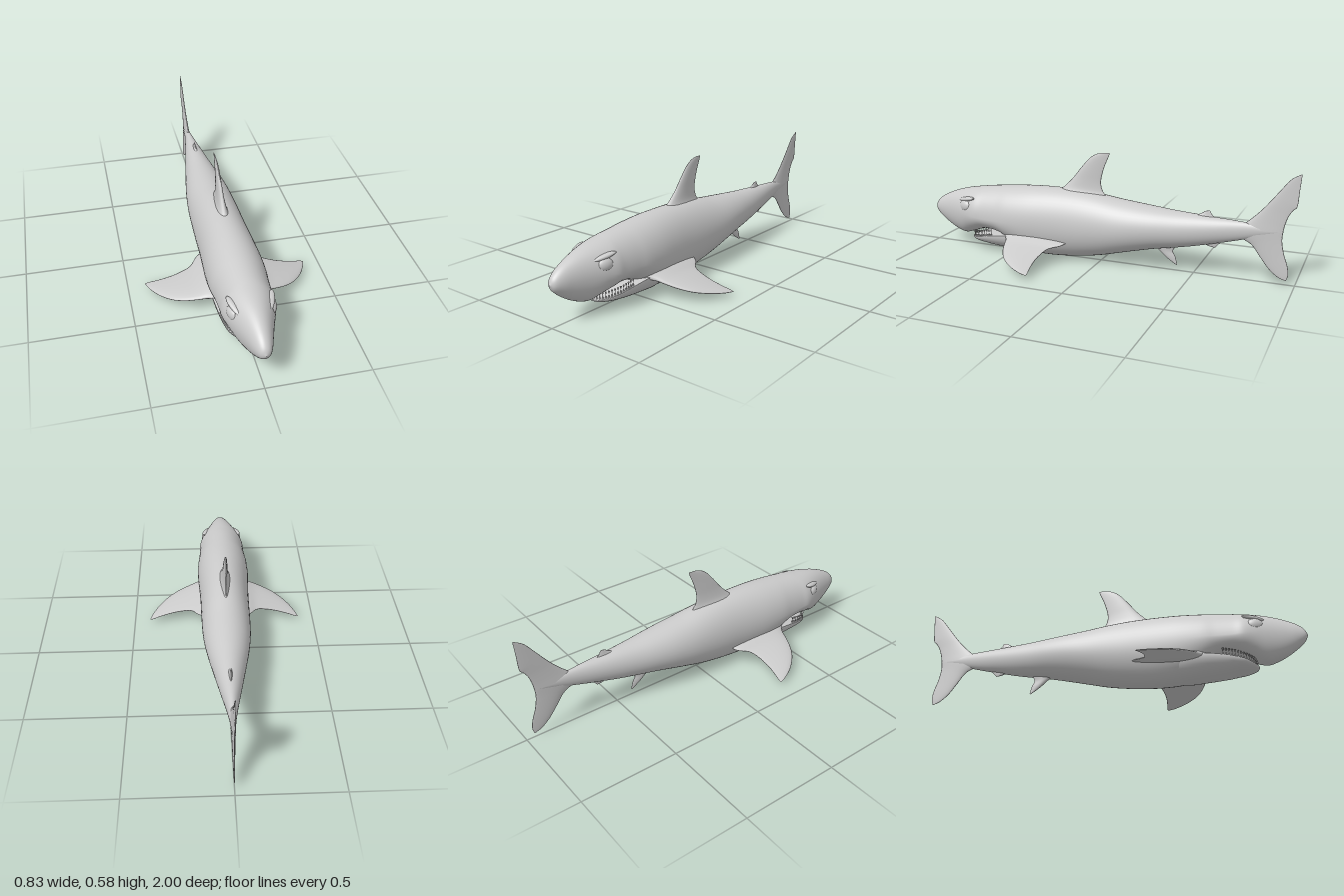
import * as THREE from 'three';

const material = new THREE.MeshStandardMaterial({ color: 0xcccccc, roughness: 0.8 });
const V = (x, y, z) => new THREE.Vector3(x, y, z);

function named(name, geometry) {
  const mesh = new THREE.Mesh(geometry, material);
  mesh.name = name;
  return mesh;
}

// Skin closed rings into a smooth surface, always wound outwards
function loft(rings) {
  const n = rings[0].length, points = rings.flat(), index = [];
  for (let i = 0; i < rings.length - 1; i++) {
    for (let j = 0; j < n; j++) {
      const a = i * n + j, b = i * n + (j + 1) % n;
      index.push(a, a + n, b, b, a + n, b + n);
    }
  }
  let volume = 0;
  for (let k = 0; k < index.length; k += 3) {
    const [p, q, r] = [0, 1, 2].map((m) => points[index[k + m]].clone().sub(points[0]));
    volume += p.dot(q.cross(r));
  }
  if (volume < 0) index.reverse();
  const geometry = new THREE.BufferGeometry().setFromPoints(points);
  geometry.setIndex(index);
  geometry.computeVertexNormals();
  return geometry;
}

const smooth = (points) => new THREE.CatmullRomCurve3(points, false, 'catmullrom', 0.5);

// Body sections: [z, top, bottom, half width, height of widest point]
function bodyLoft(sections, steps, sides = 48) {
  const heights = smooth(sections.map((s) => V(s[0], s[1], s[2])));
  const widths = smooth(sections.map((s) => V(s[3], s[4], 0)));
  const rings = [];
  for (let i = 0; i <= steps; i++) {
    const { x: z, y: top, z: bottom } = heights.getPoint(i / steps);
    const { x: w, y: mid } = widths.getPoint(i / steps);
    rings.push(Array.from({ length: sides }, (_, j) => {
      const a = (j / sides) * Math.PI * 2, s = Math.sin(a);
      return V(w * Math.cos(a), mid + s * (s > 0 ? top - mid : mid - bottom), z);
    }));
  }
  return loft(rings);
}

// Fin stations: [lead z, lead span, trail z, trail span, half thickness]
function fin(stations, place, steps = 28, sides = 24) {
  const lead = smooth(stations.map((s) => V(s[0], s[1], s[4])));
  const trail = smooth(stations.map((s) => V(s[2], s[3], 0)));
  const rings = [];
  for (let i = 0; i <= steps; i++) {
    const l = lead.getPoint(i / steps), t = trail.getPoint(i / steps);
    rings.push(Array.from({ length: sides }, (_, j) => {
      const a = (j / sides) * Math.PI * 2, c = (1 - Math.cos(a)) / 2;
      const thick = Math.max(l.z, 0) * Math.sin(a) * (1.2 - 0.7 * c);
      return place(l.x + (t.x - l.x) * c, l.y + (t.y - l.y) * c, thick);
    }));
  }
  return loft(rings);
}
const upright = (z, y, thick) => V(thick, y, z);

const bodySections = [
  [1, 0.201, 0.199, 0.001, 0.2], [0.985, 0.232, 0.17, 0.025, 0.2],
  [0.95, 0.262, 0.138, 0.043, 0.2], [0.9, 0.287, 0.104, 0.06, 0.2],
  [0.85, 0.306, 0.08, 0.077, 0.2], [0.8, 0.32, 0.068, 0.095, 0.2],
  [0.75, 0.33, 0.083, 0.113, 0.2], [0.7, 0.338, 0.1, 0.127, 0.195],
  [0.65, 0.346, 0.112, 0.128, 0.19], [0.57, 0.355, 0.1, 0.133, 0.19],
  [0.5, 0.362, 0.06, 0.14, 0.19], [0.4, 0.37, 0.012, 0.141, 0.19],
  [0.3, 0.374, 0.003, 0.136, 0.19], [0.2, 0.374, 0.007, 0.131, 0.19],
  [0.1, 0.37, 0.018, 0.129, 0.19], [0, 0.36, 0.035, 0.127, 0.195],
  [-0.1, 0.346, 0.06, 0.124, 0.2], [-0.2, 0.335, 0.085, 0.116, 0.21],
  [-0.3, 0.325, 0.108, 0.102, 0.217], [-0.4, 0.316, 0.126, 0.084, 0.222],
  [-0.5, 0.31, 0.146, 0.066, 0.23], [-0.6, 0.304, 0.17, 0.048, 0.24],
  [-0.7, 0.299, 0.196, 0.03, 0.25], [-0.8, 0.29, 0.225, 0.015, 0.26],
  [-0.93, 0.268, 0.264, 0.002, 0.266],
];

const jawSections = [
  [0.76, 0.058, 0.054, 0.002, 0.057], [0.745, 0.064, 0.044, 0.045, 0.06],
  [0.7, 0.078, 0.034, 0.088, 0.074], [0.65, 0.09, 0.027, 0.106, 0.086],
  [0.6, 0.1, 0.02, 0.115, 0.096], [0.5, 0.115, 0.012, 0.124, 0.11],
  [0.4, 0.12, 0.008, 0.12, 0.115], [0.3, 0.12, 0.03, 0.09, 0.11],
];

const medianFins = {
  dorsalFin: [
    [0.25, 0.35, -0.04, 0.34, 0.04], [0.21, 0.383, -0.01, 0.375, 0.024],
    [0.16, 0.432, 0.002, 0.415, 0.016], [0.11, 0.495, -0.003, 0.46, 0.012],
    [0.06, 0.55, -0.02, 0.515, 0.008], [0.01, 0.576, -0.037, 0.555, 0.004],
    [-0.043, 0.58, -0.045, 0.577, 0.0005],
  ],
  secondDorsalFin: [
    [-0.49, 0.3, -0.61, 0.295, 0.012], [-0.53, 0.318, -0.59, 0.309, 0.007],
    [-0.55, 0.331, -0.579, 0.323, 0.004], [-0.572, 0.335, -0.576, 0.332, 0.0005],
  ],
  pelvicFin: [
    [-0.26, 0.14, -0.42, 0.15, 0.02], [-0.31, 0.105, -0.39, 0.105, 0.012],
    [-0.36, 0.063, -0.403, 0.075, 0.008], [-0.41, 0.03, -0.414, 0.033, 0.0005],
  ],
  analFin: [
    [-0.52, 0.175, -0.65, 0.2, 0.012], [-0.56, 0.157, -0.63, 0.176, 0.007],
    [-0.585, 0.15, -0.615, 0.16, 0.004], [-0.603, 0.148, -0.606, 0.15, 0.0005],
  ],
  upperTailLobe: [
    [-0.72, 0.27, -0.93, 0.262, 0.014], [-0.77, 0.312, -0.936, 0.3, 0.01],
    [-0.82, 0.362, -0.95, 0.345, 0.007], [-0.86, 0.41, -0.97, 0.378, 0.006],
    [-0.9, 0.462, -0.988, 0.4, 0.005], [-0.95, 0.525, -0.994, 0.48, 0.003],
    [-0.997, 0.555, -1, 0.552, 0.0005],
  ],
  lowerTailLobe: [
    [-0.71, 0.22, -0.93, 0.268, 0.014], [-0.78, 0.188, -0.928, 0.22, 0.01],
    [-0.83, 0.125, -0.94, 0.158, 0.007], [-0.87, 0.075, -0.96, 0.1, 0.005],
    [-0.915, 0.038, -0.966, 0.055, 0.003], [-0.956, 0.022, -0.958, 0.024, 0.0005],
  ],
};

const pectoralStations = [
  [0.53, 0.09, 0.14, 0.09, 0.035], [0.49, 0.14, 0.17, 0.14, 0.024],
  [0.474, 0.19, 0.222, 0.18, 0.016], [0.45, 0.25, 0.241, 0.24, 0.014],
  [0.41, 0.31, 0.245, 0.3, 0.012], [0.345, 0.365, 0.24, 0.355, 0.008],
  [0.28, 0.4, 0.233, 0.395, 0.004], [0.236, 0.415, 0.233, 0.413, 0.0005],
];

export function createModel() {
  const model = new THREE.Group();
  model.name = 'shark';
  model.add(named('body', bodyLoft(bodySections, 120)));
  model.add(named('lowerJaw', bodyLoft(jawSections, 42)));
  for (const [name, stations] of Object.entries(medianFins)) model.add(named(name, fin(stations, upright)));

  for (const side of [1, -1]) {
    const label = side > 0 ? 'left' : 'right';

    // Pectoral fin droops towards its tip
    model.add(named(label + 'PectoralFin', fin(pectoralStations,
      (z, x, thick) => V(side * x, 0.102 - 0.27 * (x - 0.14) + thick, z))));

    // Eye bulging from the slope of the head, with a brow ridge over it
    const eye = named(label + 'Eye', new THREE.SphereGeometry(1, 28, 20));
    eye.scale.set(0.023, 0.032, 0.041);
    eye.position.set(side * 0.089, 0.243, 0.757);
    eye.rotation.y = -0.35 * side;
    const brow = named(label + 'Brow', new THREE.SphereGeometry(1, 24, 16));
    brow.scale.set(0.018, 0.012, 0.06);
    brow.position.set(side * 0.084, 0.28, 0.753);
    brow.rotation.set(0.2, -0.35 * side, 0, 'YXZ');
    model.add(eye, brow);
  }

  // Two rows of small teeth following the arch of the mouth
  const half = [[0.108, 0.104, 0.59], [0.098, 0.088, 0.66], [0.06, 0.07, 0.725]];
  const arch = smooth([
    ...half.map(([x, y, z]) => V(-x, y, z)), V(0, 0.058, 0.75),
    ...half.reverse().map(([x, y, z]) => V(x, y, z)),
  ]);
  const tooth = new THREE.ConeGeometry(0.005, 0.017, 6);
  for (const [name, lift, flip] of [['lowerTeeth', 0.005, 0], ['upperTeeth', 0.02, Math.PI]]) {
    const row = new THREE.Group();
    row.name = name;
    for (let i = 0; i < 30; i++) {
      const mesh = named('tooth', tooth);
      mesh.position.copy(arch.getPointAt((i + 0.5) / 30));
      mesh.position.y += lift;
      mesh.rotation.x = flip;
      row.add(mesh);
    }
    model.add(row);
  }
  return model;
}
